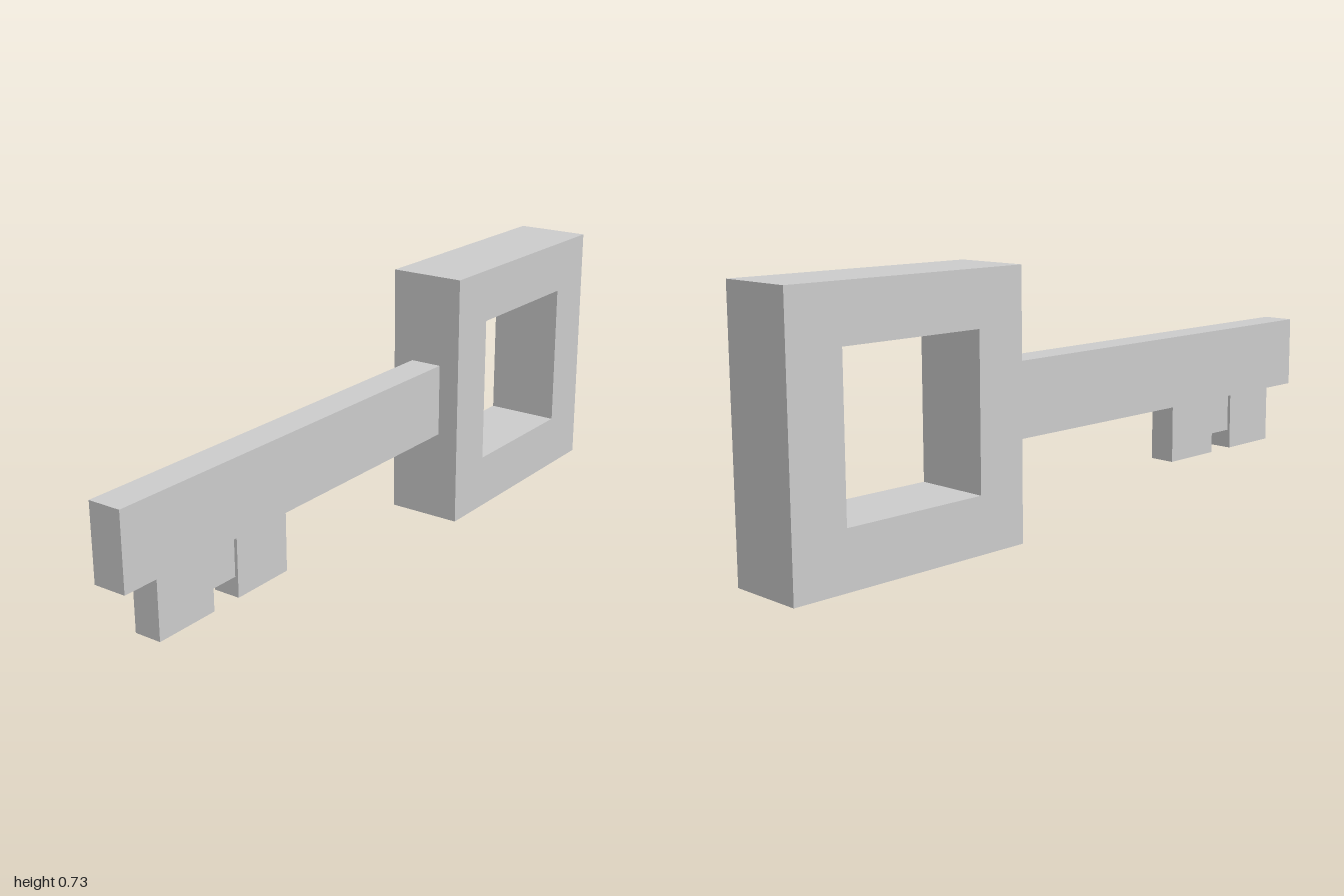
import * as THREE from 'three';

const material = new THREE.MeshStandardMaterial({ color: 0xcccccc, flatShading: true });

// Box centred on x, given its width and its y and z ranges
function block(name, width, y0, y1, z0, z1) {
  const mesh = new THREE.Mesh(new THREE.BoxGeometry(width, y1 - y0, z1 - z0), material);
  mesh.name = name;
  mesh.position.set(0, (y0 + y1) / 2, (z0 + z1) / 2);
  return mesh;
}

// Counter-clockwise rectangle of points
function rectangle(a0, b0, a1, b1) {
  return [[a0, b0], [a1, b0], [a1, b1], [a0, b1]].map(([a, b]) => new THREE.Vector2(a, b));
}

export function createModel() {
  const key = new THREE.Group();
  key.name = 'key';

  // Square bow with a square hole, drawn in (-z, y) and extruded across x
  const width = 0.218;
  const outline = new THREE.Shape(rectangle(0.275, 0, 1, 0.727));
  outline.holes.push(new THREE.Path(rectangle(0.422, 0.155, 0.845, 0.577).reverse()));
  const bowGeometry = new THREE.ExtrudeGeometry(outline, { depth: width, bevelEnabled: false });
  bowGeometry.translate(0, 0, -width / 2).rotateY(Math.PI / 2);
  const bow = new THREE.Mesh(bowGeometry, material);
  bow.name = 'bow';
  key.add(bow);

  // Long shaft
  key.add(block('shaft', 0.094, 0.26, 0.468, -0.275, 1));

  // Two teeth joined by a thinner, shorter bridge
  key.add(block('frontTooth', 0.078, 0.093, 0.26, 0.70, 0.89));
  key.add(block('rearTooth', 0.078, 0.093, 0.26, 0.42, 0.61));
  key.add(block('toothBridge', 0.06, 0.148, 0.26, 0.61, 0.70));

  return key;
}
